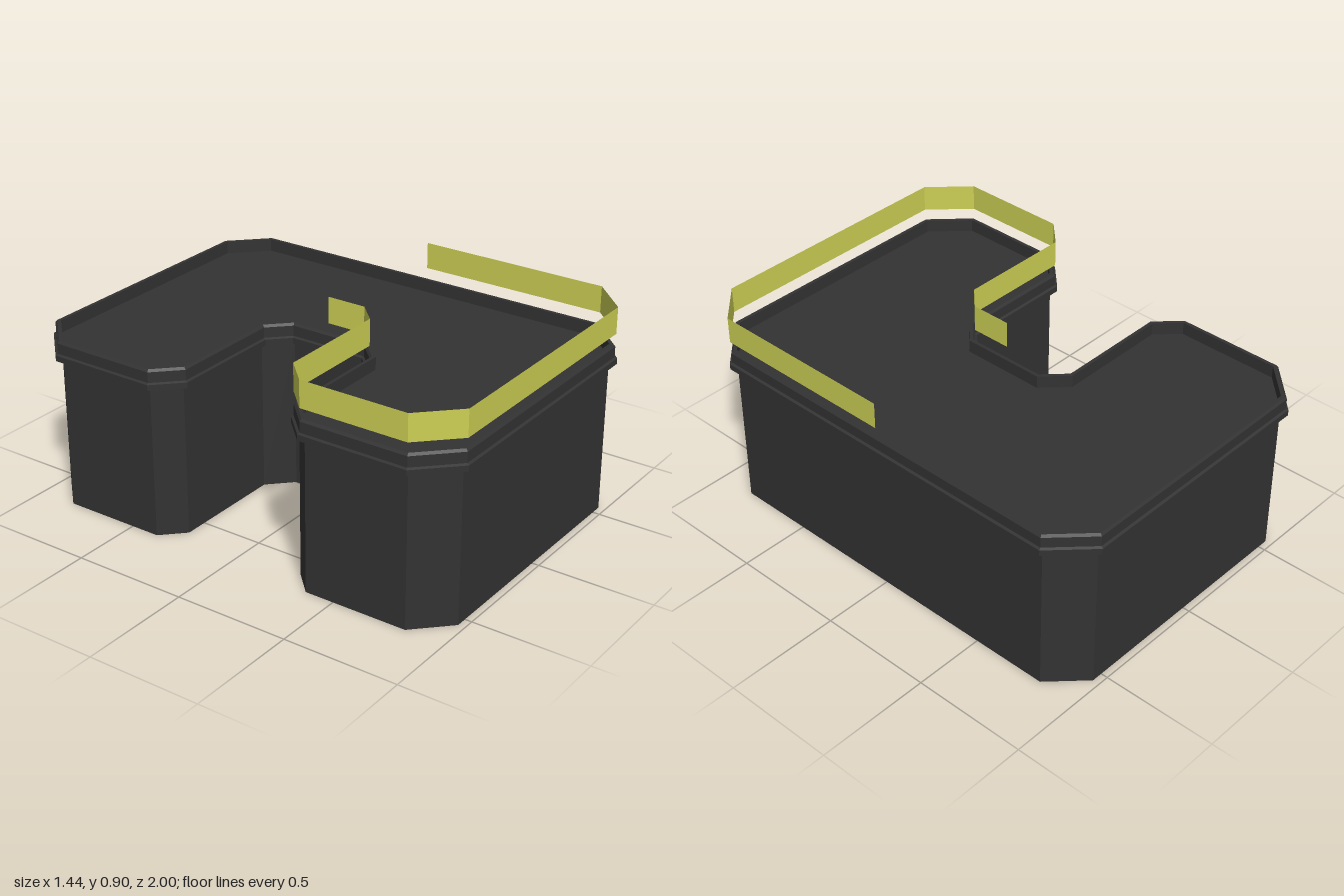
import * as THREE from 'three';
import { mergeGeometries } from 'three/addons/utils/BufferGeometryUtils.js';

// Plan outline as [x, z], counter-clockwise seen from above
const half = [[-0.03, 0.17], [-0.11, 0.25], [-0.61, 0.25], [-0.72, 0.36],
  [-0.72, 0.84], [-0.56, 1], [0.56, 1], [0.72, 0.84]];
const outline = [...half, ...half.map(([x, z]) => [x, -z]).reverse()];

// Mitred inset of the outline by distance d
function inset(d) {
  const n = outline.length;
  const normal = (a, b) => {
    const dx = b[0] - a[0], dz = b[1] - a[1], l = Math.hypot(dx, dz);
    return [-dz / l, dx / l];
  };
  return outline.map((p, i) => {
    const a = normal(outline[(i + n - 1) % n], p);
    const b = normal(p, outline[(i + 1) % n]);
    const k = d / (1 + a[0] * b[0] + a[1] * b[1]);
    return [p[0] - (a[0] + b[0]) * k, p[1] - (a[1] + b[1]) * k];
  });
}

// Flat-faced wall between two paths at two heights
function wall(low, y0, high, y1, closed = true) {
  const pos = [], n = low.length;
  for (let i = 0; i < (closed ? n : n - 1); i++) {
    const j = (i + 1) % n;
    const a = [low[i][0], y0, low[i][1]], b = [low[j][0], y0, low[j][1]];
    const c = [high[j][0], y1, high[j][1]], d = [high[i][0], y1, high[i][1]];
    pos.push(...a, ...b, ...c, ...a, ...c, ...d);
  }
  const g = new THREE.BufferGeometry();
  g.setAttribute('position', new THREE.Float32BufferAttribute(pos, 3));
  g.computeVertexNormals();
  return g;
}

// Stack of walls following a profile of [inset, y]
function sweep(profile) {
  return mergeGeometries(profile.slice(1).map(([d, y], i) =>
    wall(inset(profile[i][0]), profile[i][1], inset(d), y)));
}

// Horizontal face filling the outline, facing up (1) or down (-1)
function cap(d, y, facing) {
  const shape = new THREE.Shape(inset(d).map(([x, z]) => new THREE.Vector2(x, -z * facing)));
  return new THREE.ShapeGeometry(shape).rotateX(-facing * Math.PI / 2).translate(0, y, 0);
}

export function createModel() {
  const model = new THREE.Group();
  const dark = new THREE.MeshStandardMaterial({ color: 0x333333, flatShading: true });
  const yellow = new THREE.MeshStandardMaterial({
    color: 0xcccf54, flatShading: true, side: THREE.DoubleSide });
  const add = (name, geometry, material) => {
    const mesh = new THREE.Mesh(geometry, material);
    mesh.name = name;
    model.add(mesh);
  };

  // Building block
  add('walls', sweep([[0.03, 0], [0.03, 0.66]]), dark);
  add('base', cap(0.03, 0, -1), dark);

  // Stepped cornice and parapet around the sunken roof
  add('parapet', sweep([[0.03, 0.66], [0, 0.66], [0, 0.685], [0.01, 0.69],
    [0.01, 0.735], [0.018, 0.745], [0.033, 0.745], [0.033, 0.69]]), dark);
  add('roof', cap(0.033, 0.69, 1), dark);

  // Floating band around the front half
  const path = inset(0.01).slice(0, half.length);
  path.unshift([path[0][0], 0]);
  path.push([path[path.length - 1][0], 0]);
  add('band', wall(path, 0.79, path, 0.905, false), yellow);

  return model;
}
